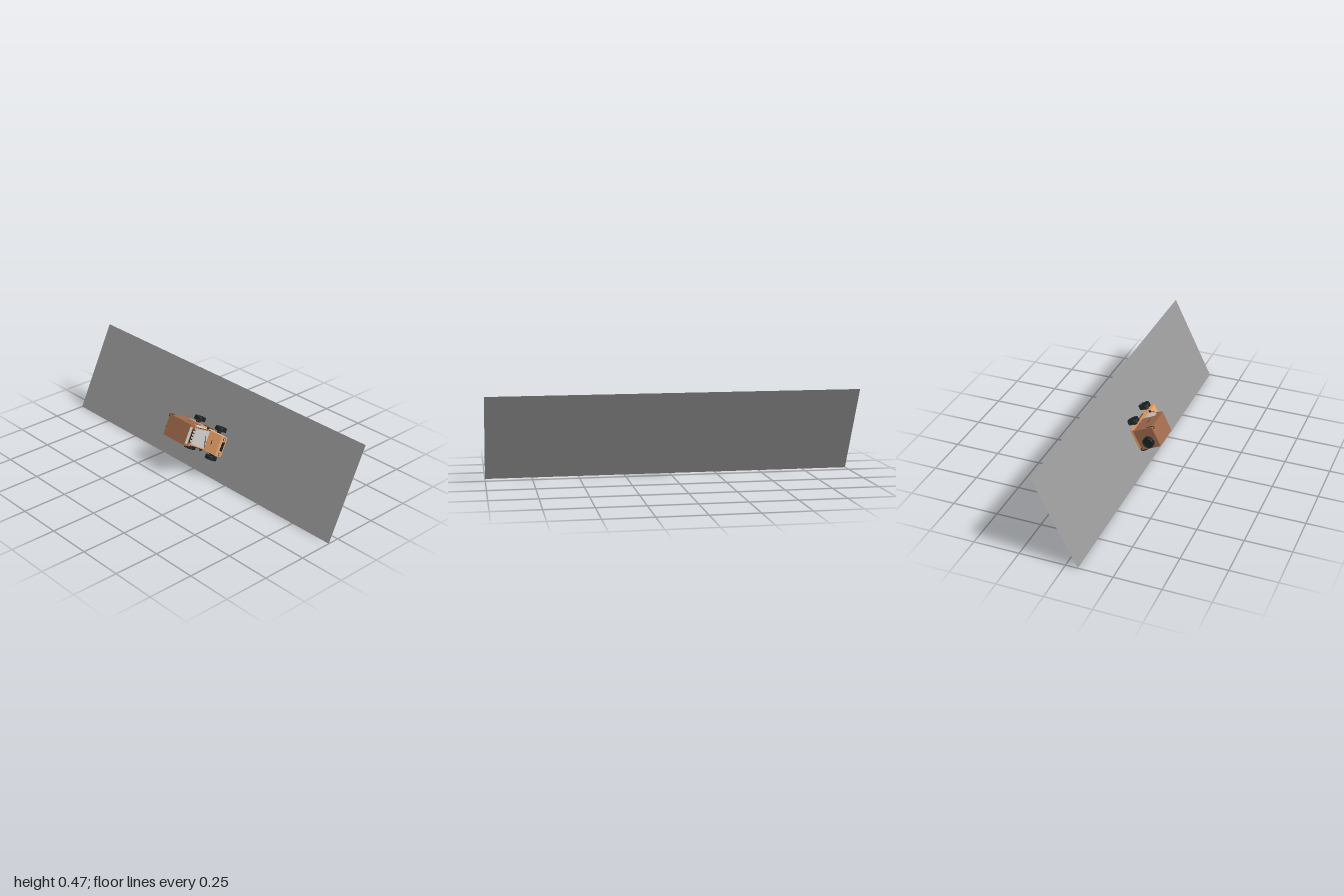
import * as THREE from 'three';

const mat = (color, opts = {}) => new THREE.MeshStandardMaterial({ color, ...opts });
const ORANGE = mat(0xeba36c), BROWN = mat(0xa06a4c), DARK_BROWN = mat(0x7a4e38), BLACK = mat(0x1a2224);
const GREY = mat(0xcccccc), GLASS = mat(0xcccccc, { side: THREE.DoubleSide });
const GROUND = mat(0x969696, { side: THREE.DoubleSide });

function add(parent, name, geo, material, x = 0, y = 0, z = 0) {
  const m = new THREE.Mesh(geo, material);
  m.name = name;
  m.position.set(x, y, z);
  parent.add(m);
  return m;
}
const box = (p, name, m, w, h, d, x, y, z) => add(p, name, new THREE.BoxGeometry(w, h, d), m, x, y, z);

// Side profile (x, y) extruded symmetrically across the car's width
function slab(p, name, m, points, width) {
  const shape = new THREE.Shape(points.map(a => new THREE.Vector2(...a)));
  const geo = new THREE.ExtrudeGeometry(shape, { depth: width, bevelEnabled: false });
  return add(p, name, geo, m, 0, 0, -width / 2);
}

// Flat panel through four corners
function quad(p, name, corners) {
  const geo = new THREE.BufferGeometry();
  geo.setAttribute('position', new THREE.Float32BufferAttribute(corners.flat(), 3));
  geo.setIndex([0, 1, 2, 0, 2, 3]);
  geo.computeVertexNormals();
  return add(p, name, geo, GLASS);
}

// Thin rod bent through the given points
function tube(p, name, points, r) {
  const path = new THREE.CurvePath();
  const v = points.map(a => new THREE.Vector3(...a));
  for (let i = 1; i < v.length; i++) path.add(new THREE.LineCurve3(v[i - 1], v[i]));
  return add(p, name, new THREE.TubeGeometry(path, 40, r, 6), BLACK);
}

// Chunky tyre with tread lugs; the axle lies along z
function wheel(name) {
  const g = new THREE.Group();
  g.name = name;
  const profile = [[0.013, -0.008], [0.026, -0.01], [0.029, -0.007], [0.029, 0.007], [0.026, 0.01], [0.013, 0.008]];
  const tyre = add(g, 'tyre', new THREE.LatheGeometry(profile.map(a => new THREE.Vector2(...a)), 24),
    mat(0x1a2224, { side: THREE.DoubleSide, flatShading: true }));
  tyre.rotation.x = Math.PI / 2;
  const rim = add(g, 'rim', new THREE.CylinderGeometry(0.014, 0.014, 0.012, 16), BLACK);
  rim.rotation.x = Math.PI / 2;
  const hub = add(g, 'hub', new THREE.CylinderGeometry(0.005, 0.005, 0.017, 10), BLACK);
  hub.rotation.x = Math.PI / 2;
  for (let i = 0; i < 18; i++) {
    for (const s of [-1, 1]) {
      const a = (i + (s > 0 ? 0.5 : 0)) / 18 * Math.PI * 2;
      const lug = box(g, 'treadLug', BLACK, 0.004, 0.006, 0.009, Math.cos(a) * 0.0295, Math.sin(a) * 0.0295, s * 0.0055);
      lug.rotation.z = a;
    }
  }
  return g;
}

function spring(p, x, z) {
  const pts = [];
  for (let i = 0; i <= 50; i++) {
    const a = i / 50 * Math.PI * 10;
    pts.push(new THREE.Vector3(x + Math.cos(a) * 0.006, 0.028 + i / 50 * 0.024, z + Math.sin(a) * 0.006));
  }
  add(p, 'coilSpring', new THREE.TubeGeometry(new THREE.CatmullRomCurve3(pts), 100, 0.0015, 5), BLACK);
}

function buildCar() {
  const car = new THREE.Group();
  car.name = 'offRoadCar';

  // Chassis, lower body and hood
  box(car, 'chassis', DARK_BROWN, 0.26, 0.008, 0.07, 0.035, 0.03, 0);
  box(car, 'lowerBody', ORANGE, 0.195, 0.036, 0.114, -0.0105, 0.049, 0);
  slab(car, 'hood', ORANGE, [[0.085, 0.034], [0.178, 0.034], [0.178, 0.058], [0.172, 0.064], [0.085, 0.07]], 0.112);
  box(car, 'hoodVent', BLACK, 0.003, 0.002, 0.025, 0.12, 0.0675, 0);
  box(car, 'grille', BLACK, 0.004, 0.022, 0.05, 0.179, 0.041, 0);
  box(car, 'bumper', ORANGE, 0.007, 0.006, 0.112, 0.1785, 0.031, 0);

  // Cab with sloping windscreen, under the tall rear box
  slab(car, 'cab', ORANGE, [[0, 0.066], [0.087, 0.066], [0.047, 0.145], [0, 0.145]], 0.11);
  quad(car, 'windscreen', [[0.086, 0.07, 0.049], [0.086, 0.07, -0.049], [0.052, 0.138, -0.043], [0.052, 0.138, 0.043]]);
  slab(car, 'rearBox', BROWN, [[-0.131, 0.06], [0.008, 0.06], [0.008, 0.139], [0.045, 0.139],
    [0.045, 0.161], [0.036, 0.176], [-0.131, 0.176]], 0.118);
  quad(car, 'frontSlotWindow', [[0.0445, 0.163, 0.047], [0.0445, 0.163, -0.047], [0.038, 0.174, -0.047], [0.038, 0.174, 0.047]]);
  for (const s of [-1, 1]) {
    quad(car, 'doorWindow', [[0.012, 0.072, s * 0.0556], [0.078, 0.072, s * 0.0556], [0.046, 0.134, s * 0.0556], [0.012, 0.134, s * 0.0556]]);
    tube(car, 'windscreenPillar', [[0.09, 0.068, s * 0.055], [0.051, 0.143, s * 0.051]], 0.002);
    box(car, 'sideVent', DARK_BROWN, 0.042, 0.009, 0.002, -0.04, 0.12, s * 0.0585);
    box(car, 'mirror', BLACK, 0.008, 0.01, 0.009, 0.075, 0.079, s * 0.062);
    box(car, 'sideStep', DARK_BROWN, 0.075, 0.005, 0.012, 0.035, 0.034, s * 0.056);

    // Headlights
    const ring = add(car, 'headlightRing', new THREE.CylinderGeometry(0.0075, 0.0075, 0.005, 16), BLACK, 0.178, 0.047, s * 0.042);
    const lamp = add(car, 'headlight', new THREE.CylinderGeometry(0.0055, 0.0055, 0.007, 16), GREY, 0.178, 0.047, s * 0.042);
    ring.rotation.z = lamp.rotation.z = Math.PI / 2;
  }

  // Wipers lying low on the windscreen, both swept the same way
  for (const z of [0.042, 0.014]) {
    tube(car, 'wiper', [[0.087, 0.071, z], [0.081, 0.083, z - 0.034]], 0.0014);
  }

  // Row of roof lights
  box(car, 'roofLightBar', BLACK, 0.004, 0.016, 0.073, 0.047, 0.15, 0);
  for (let i = 0; i < 4; i++) {
    const lamp = add(car, 'roofLight', new THREE.CylinderGeometry(0.006, 0.006, 0.006, 16), GREY, 0.05, 0.15, (i - 1.5) * 0.0172);
    lamp.rotation.z = Math.PI / 2;
  }

  // Hand rail on the left side of the rear box
  tube(car, 'sideRail', [[-0.125, 0.145, -0.058], [-0.125, 0.145, -0.062], [-0.125, 0.186, -0.06],
    [-0.125, 0.186, -0.048], [-0.125, 0.175, -0.048]], 0.0015);

  // Axles, springs and wheels
  for (const [x, label] of [[0.122, 'front'], [-0.044, 'rear']]) {
    const axle = add(car, label + 'Axle', new THREE.CylinderGeometry(0.003, 0.003, 0.16, 10), BLACK, x, 0.033, 0);
    axle.rotation.x = Math.PI / 2;
    for (const s of [-1, 1]) {
      const w = wheel(label + 'Wheel');
      w.position.set(x, 0.034, s * 0.082);
      car.add(w);
      spring(car, x, s * 0.065);
    }
  }

  // Spare wheel on the back
  const spare = wheel('spareWheel');
  spare.rotation.y = Math.PI / 2;
  spare.position.set(-0.141, 0.124, 0.017);
  car.add(spare);
  return car;
}

export function createModel() {
  const model = new THREE.Group();
  model.name = 'carOnSlope';

  // Tilted frame: local y is the slope's normal, local z runs downhill
  const slope = new THREE.Group();
  slope.name = 'slope';
  slope.rotation.x = 1.115;
  slope.position.set(0, 0.2345, -0.05);
  model.add(slope);

  const ground = add(slope, 'slopeSheet', new THREE.PlaneGeometry(2, 0.522), GROUND);
  ground.rotation.x = -Math.PI / 2;

  const car = buildCar();
  car.position.z = 0.07;
  slope.add(car);
  return model;
}
